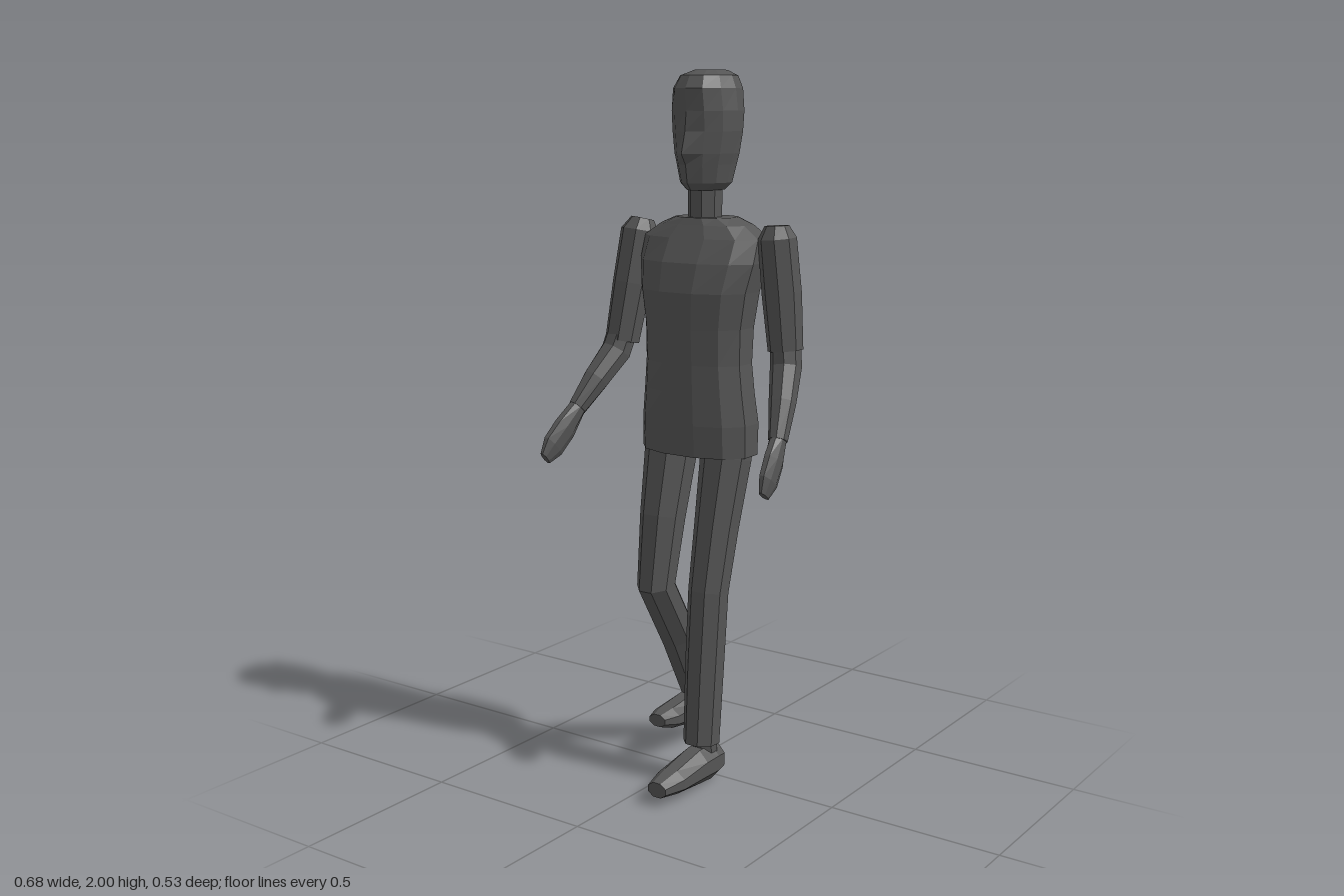
import * as THREE from 'three';

const X = new THREE.Vector3(1, 0, 0);
const grey = new THREE.MeshStandardMaterial({ color: 0x555555, flatShading: true });
grey.name = 'dark grey';

// Skins a closed tube over sections [x, y, z, halfWidth, halfDepth, frontBump].
// Rings lie square to the path unless a fixed direction is given.
function loft(name, sections, { sides = 8, dir = null, turn = 0.5, power = 1 } = {}) {
  const centres = sections.map(s => new THREE.Vector3(s[0], s[1], s[2]));
  const grow = turn ? 1 / Math.cos(Math.PI / sides) : 1;
  const soft = v => Math.sign(v) * Math.abs(v) ** power;
  const rings = sections.map(([, , , a, b, bump = 0], i) => {
    const t = dir ? dir.clone() : centres[Math.min(i + 1, centres.length - 1)].clone()
      .sub(centres[Math.max(i - 1, 0)]);
    t.normalize();
    const n = t.clone().cross(X).normalize();
    const s = n.clone().cross(t);
    return Array.from({ length: sides }, (_, j) => {
      const q = (j + turn) / sides * Math.PI * 2;
      const p = centres[i].clone().addScaledVector(s, soft(Math.cos(q)) * a * grow)
        .addScaledVector(n, soft(Math.sin(q)) * b * grow);
      if (Math.sin(q) < -0.99) p.z += bump;
      return p;
    });
  });
  const pos = [];
  const tri = (...pts) => pts.forEach(p => pos.push(p.x, p.y, p.z));
  const last = rings.length - 1;
  for (let j = 0; j < sides; j++) {
    const k = (j + 1) % sides;
    for (let i = 0; i < last; i++) {
      tri(rings[i][j], rings[i][k], rings[i + 1][k]);
      tri(rings[i][j], rings[i + 1][k], rings[i + 1][j]);
    }
    tri(centres[0], rings[0][k], rings[0][j]);
    tri(centres[last], rings[last][j], rings[last][k]);
  }
  const geo = new THREE.BufferGeometry();
  geo.setAttribute('position', new THREE.Float32BufferAttribute(pos, 3));
  geo.computeVertexNormals();
  const mesh = new THREE.Mesh(geo, grey);
  mesh.name = name;
  return mesh;
}

export function createModel() {
  const model = new THREE.Group();
  model.name = 'walkingFigure';
  const up = new THREE.Vector3(0, 1, 0);
  const down = up.clone().negate();
  const forward = new THREE.Vector3(0, 0, 1);

  // Shirt: [height, half width, front z, back z]
  const shirt = [
    [0.94, 0.175, 0.03, -0.18], [1.03, 0.175, 0.035, -0.19], [1.12, 0.165, 0.035, -0.18],
    [1.2, 0.158, 0.035, -0.175], [1.3, 0.16, 0.04, -0.185], [1.4, 0.175, 0.045, -0.195],
    [1.48, 0.19, 0.025, -0.205], [1.545, 0.19, -0.01, -0.205], [1.58, 0.14, -0.03, -0.195],
    [1.6, 0.09, -0.04, -0.18],
  ].map(([y, a, f, b]) => [0, y, (f + b) / 2, a, (f - b) / 2]);
  model.add(loft('shirt', shirt, { sides: 12, dir: up, power: 0.9 }));

  // Neck
  model.add(loft('neck', [[0, 1.57, -0.1, 0.045, 0.045], [0, 1.7, -0.1, 0.045, 0.045]], { dir: up }));

  // Head: [height, half width, front z, back z, nose or brow bump]
  const head = [
    [1.675, 0.05, -0.04, -0.165, 0.01], [1.695, 0.07, -0.025, -0.185, 0.012],
    [1.745, 0.08, -0.015, -0.2, 0.01], [1.775, 0.088, -0.012, -0.205, 0.027],
    [1.835, 0.097, -0.012, -0.212, 0.01], [1.89, 0.099, -0.008, -0.218, 0],
    [1.95, 0.092, -0.004, -0.222, 0], [1.985, 0.075, -0.025, -0.212, 0],
    [2.0, 0.04, -0.07, -0.185, 0],
  ].map(([y, a, f, b, bump]) => [0, y, (f + b) / 2, a, (f - b) / 2, bump]);
  model.add(loft('head', head, { sides: 12, dir: up, turn: 0 }));

  // Arms, posed separately: sleeve, then forearm and hand
  const arms = {
    right: {
      sleeve: [[-0.232, 1.585, -0.12, 0.032, 0.03], [-0.236, 1.55, -0.113, 0.054, 0.05],
        [-0.246, 1.4, -0.085, 0.053, 0.052], [-0.26, 1.235, -0.055, 0.047, 0.047]],
      forearm: [[-0.26, 1.26, -0.055, 0.041, 0.041], [-0.268, 1.205, -0.035, 0.042, 0.042],
        [-0.288, 1.13, 0.035, 0.036, 0.037], [-0.307, 1.055, 0.098, 0.024, 0.028]],
      hand: [[-0.306, 1.058, 0.095, 0.021, 0.026], [-0.316, 1.0, 0.145, 0.021, 0.04],
        [-0.323, 0.955, 0.19, 0.018, 0.04], [-0.325, 0.925, 0.223, 0.009, 0.022]],
    },
    left: {
      sleeve: [[0.236, 1.585, -0.1, 0.032, 0.03], [0.238, 1.55, -0.1, 0.05, 0.05],
        [0.25, 1.4, -0.107, 0.052, 0.05], [0.265, 1.245, -0.106, 0.046, 0.045]],
      forearm: [[0.264, 1.27, -0.107, 0.04, 0.04], [0.272, 1.2, -0.098, 0.041, 0.041],
        [0.292, 1.11, -0.05, 0.035, 0.036], [0.31, 1.015, 0.0, 0.024, 0.028]],
      hand: [[0.309, 1.018, -0.002, 0.021, 0.026], [0.316, 0.965, 0.03, 0.02, 0.04],
        [0.321, 0.915, 0.065, 0.017, 0.04], [0.323, 0.88, 0.09, 0.009, 0.022]],
    },
  };
  for (const [side, parts] of Object.entries(arms)) {
    const arm = new THREE.Group();
    arm.name = side + 'Arm';
    for (const [part, sections] of Object.entries(parts)) arm.add(loft(part, sections));
    model.add(arm);
  }

  // Legs: trailing right leg bends at the knee, leading left leg is nearly straight
  const legs = {
    right: {
      trouser: [[-0.098, 1.0, -0.085, 0.075, 0.065], [-0.1, 0.93, -0.075, 0.074, 0.065],
        [-0.098, 0.74, -0.03, 0.063, 0.06], [-0.097, 0.54, 0.005, 0.052, 0.055],
        [-0.097, 0.36, -0.105, 0.052, 0.052], [-0.096, 0.17, -0.196, 0.048, 0.046]],
      ankle: [[-0.096, 0.2, -0.18, 0.035, 0.035], [-0.097, 0.12, -0.21, 0.035, 0.035]],
      shoe: [[-0.098, 0.098, -0.265, 0.036, 0.036], [-0.098, 0.105, -0.225, 0.046, 0.05],
        [-0.098, 0.112, -0.16, 0.046, 0.046], [-0.098, 0.114, -0.05, 0.045, 0.031],
        [-0.098, 0.118, 0.0, 0.028, 0.018]],
    },
    left: {
      trouser: [[0.098, 1.0, -0.075, 0.072, 0.065], [0.1, 0.93, -0.06, 0.07, 0.062],
        [0.098, 0.74, -0.018, 0.06, 0.057], [0.097, 0.56, 0.02, 0.054, 0.052],
        [0.097, 0.34, 0.038, 0.052, 0.052], [0.097, 0.118, 0.053, 0.048, 0.05]],
      ankle: [[0.097, 0.16, 0.045, 0.035, 0.035], [0.097, 0.06, 0.035, 0.035, 0.035]],
      shoe: [[0.097, 0.053, -0.008, 0.04, 0.043], [0.097, 0.054, 0.03, 0.046, 0.053],
        [0.097, 0.056, 0.09, 0.048, 0.05], [0.097, 0.049, 0.2, 0.046, 0.034],
        [0.097, 0.046, 0.27, 0.03, 0.021]],
    },
  };
  for (const [side, parts] of Object.entries(legs)) {
    const leg = new THREE.Group();
    leg.name = side + 'Leg';
    leg.add(loft('trouserLeg', parts.trouser));
    leg.add(loft('ankle', parts.ankle, { dir: down }));
    leg.add(loft('shoe', parts.shoe, { dir: forward }));
    model.add(leg);
  }
  return model;
}
